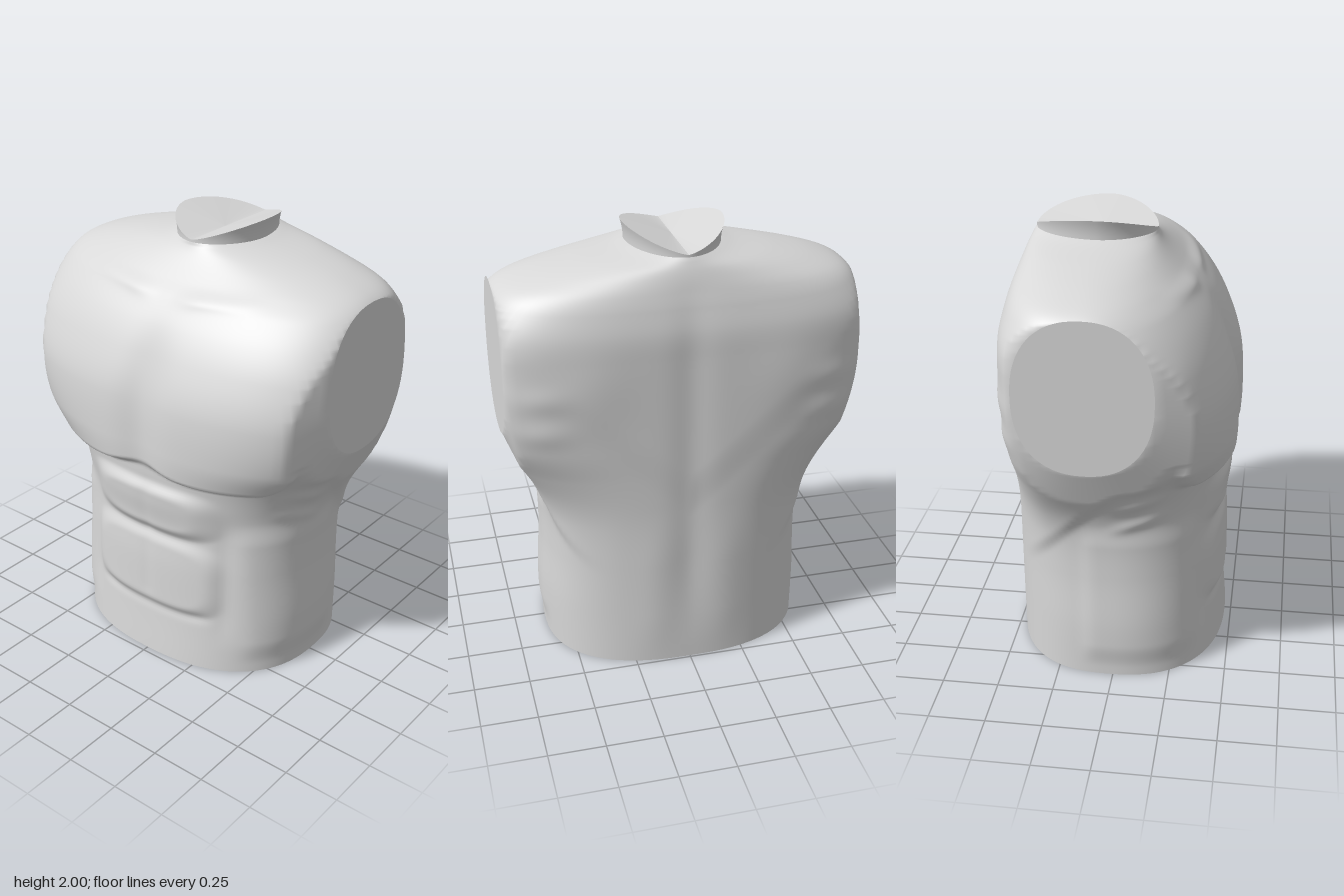
import * as THREE from 'three';

const SEG = 144, RINGS = 220, NECK_Y = 1.915;

// Body sections: height, half width, front z, back z, centre z, front and back squareness
const SECTIONS = [
  [0.00, 0.605, 0.47, -0.49, -0.02, 2.4, 2.5],
  [0.25, 0.608, 0.45, -0.49, -0.02, 2.4, 2.5],
  [0.50, 0.595, 0.445, -0.49, -0.03, 2.4, 2.6],
  [0.70, 0.60, 0.435, -0.49, -0.04, 2.4, 2.7],
  [0.82, 0.63, 0.45, -0.49, -0.06, 2.3, 2.8],
  [0.95, 0.70, 0.46, -0.49, -0.08, 2.3, 3.0],
  [1.10, 0.80, 0.465, -0.49, -0.09, 2.6, 3.4],
  [1.30, 0.86, 0.455, -0.49, -0.09, 2.7, 3.7],
  [1.50, 0.87, 0.415, -0.49, -0.09, 2.7, 3.7],
  [1.62, 0.85, 0.37, -0.49, -0.09, 2.6, 3.6],
  [1.72, 0.80, 0.30, -0.475, -0.10, 2.5, 3.2],
  [1.78, 0.74, 0.235, -0.46, -0.11, 2.3, 2.8],
  [1.83, 0.61, 0.185, -0.445, -0.12, 2.1, 2.4],
  [1.87, 0.44, 0.15, -0.43, -0.13, 2, 2.2],
  [1.90, 0.27, 0.13, -0.415, -0.12, 1.9, 2],
  [NECK_Y, 0.205, 0.125, -0.405, -0.11, 1.8, 1.9],
];

const step = THREE.MathUtils.smoothstep;
const bell = (v, mid, width) => Math.exp(-(((v - mid) / width) ** 2));
const band = (v, lo, hi, soft) => step(v, lo - soft, lo + soft) * (1 - step(v, hi - soft, hi + soft));
// Rounded raised plate centred on the middle line
const plate = (x, y, halfWidth, mid, halfHeight, soft) =>
  1 - step(((x / halfWidth) ** 4 + ((y - mid) / halfHeight) ** 4) ** 0.25, 1 - soft, 1 + soft);

// Smooth interpolation of the sections at height y
function sectionAt(y) {
  let i = 0;
  while (i < SECTIONS.length - 2 && y > SECTIONS[i + 1][0]) i++;
  const a = SECTIONS[i], b = SECTIONS[i + 1];
  const p = SECTIONS[Math.max(i - 1, 0)], n = SECTIONS[Math.min(i + 2, SECTIONS.length - 1)];
  const h = b[0] - a[0], t = (y - a[0]) / h, t2 = t * t, t3 = t2 * t;
  return a.map((v, k) => {
    const ma = (b[k] - p[k]) / (b[0] - p[0]) * h, mb = (n[k] - v) / (n[0] - a[0]) * h;
    return (2 * t3 - 3 * t2 + 1) * v + (t3 - 2 * t2 + t) * ma + (3 * t2 - 2 * t3) * b[k] + (t3 - t2) * mb;
  });
}

// Muscle relief, measured outwards; x is the distance from the middle
function relief(x, y, z) {
  let d = 0;
  const front = step(z, 0.1, 0.3), back = 1 - step(z, -0.4, -0.25);
  if (front > 0) {
    // Chest plates with a sharp lower edge and a central groove
    const lower = 0.955 + 0.035 * bell(x, 0, 0.15) + 4.5 * Math.max(0, x - 0.5) ** 2;
    let f = 0.05 * step(y - lower, -0.012, 0.025) * (1 - step(y, 1.3, 1.72)) * (1 - 0.7 * bell(x, 0, 0.1));
    // Collarbones
    f += 0.012 * bell(y, 1.715 + 0.12 * x, 0.03) * band(x, 0.1, 0.45, 0.08);
    // Upper and lower belly plates, with a groove and a furrow beside them
    f += 0.028 * plate(x, y, 0.3, 0.78, 0.11, 0.28);
    f += 0.018 * plate(x, y, 0.34, 0.445, 0.18, 0.18);
    f -= 0.008 * bell(y, 0.26, 0.025) * band(x, -1, 0.3, 0.06);
    f -= 0.004 * bell(x, 0, 0.03) * band(y, 0.3, 0.9, 0.05);
    f -= 0.008 * bell(x, 0.38, 0.04) * band(y, 0.2, 0.75, 0.1);
    d += front * f;
  }
  // Flank plate
  d += 0.012 * band(z, -0.12, 0.34, 0.04) * band(y, 0.1, 0.72, 0.06);
  // Broad back muscle, its edge running diagonally across the side
  d += 0.016 * step(y - 0.62 - 1.08 * (z + 0.3), -0.04, 0.05) * band(z, -0.36, 0.04, 0.08) * (1 - step(y, 0.95, 1.2));
  // Rib muscles
  for (let k = 0; k < 3; k++) {
    d += 0.01 * bell(y + 0.3 * (0.15 - z), 0.8 + 0.11 * k, 0.03) * band(z, 0.02 + 0.03 * k, 0.2, 0.06);
  }
  if (back > 0) {
    // Spine groove, kite-shaped upper back, shoulder blades and loin columns
    let b = -0.012 * bell(x, 0, 0.08) * band(y, 0.3, 1.7, 0.25);
    b += 0.008 * step(y - 0.84 - 0.9 * x, -0.1, 0.12) * (1 - step(y, 1.5, 1.75));
    b += 0.012 * bell(x, 0.42, 0.14) * bell(y, 1.4, 0.17);
    b += 0.012 * bell(x, 0.62, 0.1) * (bell(y, 1.2, 0.06) + bell(y, 1.36, 0.06));
    b += 0.006 * bell(x, 0.16, 0.09) * band(y, 0.1, 0.65, 0.15);
    d += b * back;
  }
  return d;
}

function bodyPoint(y, angle) {
  const [, w, f, bk, zc, pf, pb] = sectionAt(y);
  const s = Math.sin(angle), c = Math.cos(angle);
  const p = c > 0 ? pf : pb, depth = c > 0 ? f - zc : zc - bk;
  let r = (Math.abs(s / w) ** p + Math.abs(c / depth) ** p) ** (-1 / p);
  r += relief(Math.abs(s * r), y, zc + c * r) * (1 - step(y, 1.78, 1.88));
  const z = zc + c * r;
  // Slice off the arm, easing away just outside the cut
  const e = (Math.abs((y - 1.435) / 0.335) ** 2.3 + Math.abs((z + 0.09) / 0.29) ** 2.3) ** (1 / 2.3);
  const limit = Math.max(0.65, 0.773 - 0.135 * Math.max(0, e - 1));
  return [THREE.MathUtils.clamp(s * r, -limit, limit), y, z];
}

function loft(rings) {
  const index = [];
  for (let j = 0; j < rings.length - 1; j++) {
    for (let i = 0; i < SEG; i++) {
      const n = (i + 1) % SEG, a = j * SEG + i, b = j * SEG + n;
      index.push(a, b, b + SEG, a, b + SEG, a + SEG);
    }
  }
  const g = new THREE.BufferGeometry();
  g.setAttribute('position', new THREE.Float32BufferAttribute(rings.flat(2), 3));
  g.setIndex(index);
  g.computeVertexNormals();
  return g;
}

function fan(ring, centre, up) {
  const pos = [];
  ring.forEach((p, i) => {
    const q = ring[(i + 1) % SEG];
    pos.push(...centre, ...(up ? p : q), ...(up ? q : p));
  });
  const g = new THREE.BufferGeometry();
  g.setAttribute('position', new THREE.Float32BufferAttribute(pos, 3));
  g.computeVertexNormals();
  return g;
}

export function createModel() {
  const group = new THREE.Group();
  const grey = new THREE.MeshStandardMaterial({ color: 0xd8d8d8 });
  grey.name = 'lightGrey';
  const add = (name, geometry) => {
    const mesh = new THREE.Mesh(geometry, grey);
    mesh.name = name;
    group.add(mesh);
  };
  const angles = Array.from({ length: SEG }, (_, i) => (i / SEG) * Math.PI * 2);

  // Torso, with rings closer together towards the shoulders
  const rings = [];
  for (let j = 0; j <= RINGS; j++) {
    const y = NECK_Y * (1 - (1 - j / RINGS) ** 1.5);
    rings.push(angles.map((a) => bodyPoint(y, a)));
  }
  add('torso', loft(rings));
  add('waistCut', fan(rings[0], [0, 0, -0.02], false));

  // Neck stub, rising towards both sides
  const neck = [];
  for (let j = 0; j <= 6; j++) {
    const t = j / 6;
    neck.push(rings[RINGS].map(([x, y, z]) => {
      const rise = 0.01 + 0.075 * Math.min(1, Math.abs(x) / 0.205) ** 1.2;
      return [x * (1 + 0.07 * t * t), y + rise * t, z];
    }));
  }
  add('neck', loft(neck));
  add('neckCut', fan(neck[6], [0, NECK_Y + 0.01, -0.11], true));

  // Flat arm cuts
  for (const side of [1, -1]) {
    const disc = new THREE.CircleGeometry(1, 64);
    const pos = disc.attributes.position;
    const bulge = (v) => Math.sign(v) * Math.abs(v) ** (2 / 2.3);
    for (let i = 0; i < pos.count; i++) {
      pos.setXY(i, bulge(pos.getX(i)) * 0.29, bulge(pos.getY(i)) * 0.335);
    }
    disc.rotateY(side * Math.PI / 2).translate(side * 0.776, 1.435, -0.09);
    add(side > 0 ? 'leftArmCut' : 'rightArmCut', disc);
  }
  return group;
}
